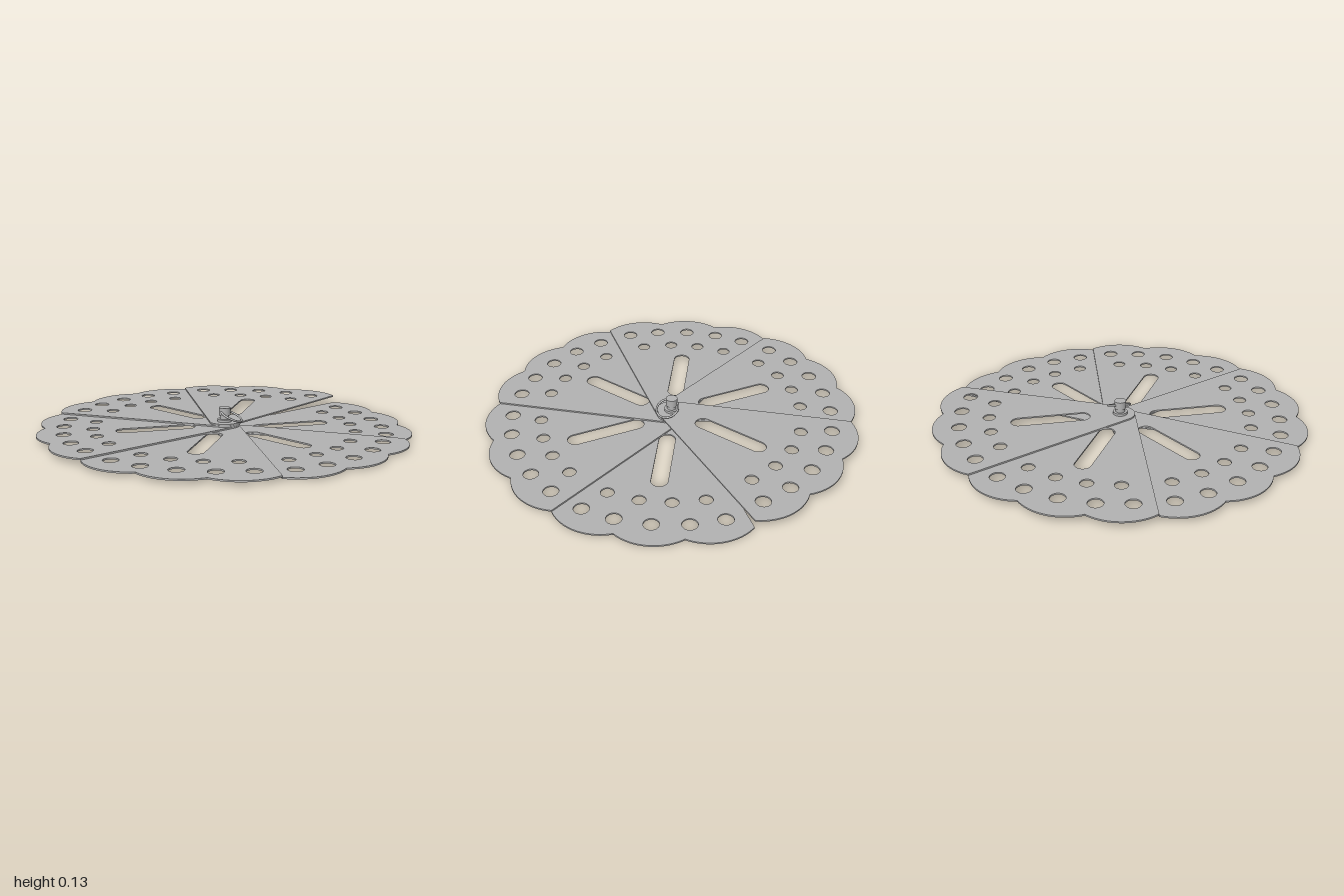
import * as THREE from 'three';

const deg = Math.PI / 180;
const HUB = 0.08;       // radius of the rounded petal root
const CUSP = 0.955;     // radius at the notches between scallops
const THICK = 0.008, PITCH = 0.0085;

// Point at radius r, angle a clockwise from +Y
const polar = (r, a) => [r * Math.sin(a), r * Math.cos(a)];

function circleHole(shape, r, a, radius) {
  const hole = new THREE.Path();
  const [x, y] = polar(r, a);
  hole.absarc(x, y, radius, 0, Math.PI * 2, true);
  shape.holes.push(hole);
}

// One sixth of the plate, pointing along -z, with its underside on y = 0
function petalGeometry() {
  const shape = new THREE.Shape();
  const edge = 30 * deg - Math.asin(HUB / CUSP);

  // Straight side, three scallops, straight side, rounded root
  shape.moveTo(HUB * Math.cos(edge), -HUB * Math.sin(edge));
  shape.lineTo(...polar(CUSP, 30 * deg));
  const halfChord = CUSP * Math.sin(10 * deg);
  const rise = 1 - CUSP * Math.cos(10 * deg);
  const radius = (halfChord ** 2 + rise ** 2) / (2 * rise);
  const half = Math.asin(halfChord / radius);
  for (const a of [20, 0, -20]) {
    const [x, y] = polar(1 - radius, a * deg);
    const mid = (90 - a) * deg;
    shape.absarc(x, y, radius, mid - half, mid + half, false);
  }
  shape.lineTo(-HUB * Math.cos(edge), -HUB * Math.sin(edge));
  shape.absarc(0, 0, HUB, Math.PI + edge, 2 * Math.PI - edge, false);

  // Two rows of round holes
  for (const a of [-23.5, -12, 0, 12, 23.5]) circleHole(shape, 0.86, a * deg, 0.039);
  for (const a of [-20, -6.5, 6.5, 20]) circleHole(shape, 0.703, a * deg, 0.034);

  // Long radial slot
  const slot = new THREE.Path();
  const w = 0.043;
  slot.absarc(0, 0.59 - w, w, 0, Math.PI, false);
  slot.absarc(0, 0.165 + w, w, Math.PI, 2 * Math.PI, false);
  slot.closePath();
  shape.holes.push(slot);

  const geo = new THREE.ExtrudeGeometry(shape, { depth: THICK, bevelEnabled: false, curveSegments: 20 });
  return geo.rotateX(-Math.PI / 2);
}

export function createModel() {
  const model = new THREE.Group();
  model.name = 'foldingPlate';
  const metal = new THREE.MeshStandardMaterial({ color: 0xb2b2b2 });
  metal.name = 'grey metal';

  const add = (name, geometry) => {
    const mesh = new THREE.Mesh(geometry, metal);
    mesh.name = name;
    model.add(mesh);
    return mesh;
  };

  // Six petals fanned out, each one layer lower than the last
  const petal = petalGeometry();
  for (let i = 0; i < 6; i++) {
    const mesh = add('petal' + (i + 1), petal);
    mesh.position.y = (5 - i) * PITCH;
    mesh.rotation.y = i * 60 * deg;
  }

  // Central rivet: flange, neck and head, from stacked cylinders
  const stack = [
    ['rivetFlange', 0.039, 0.048, 0.064],
    ['rivetNeck', 0.025, 0.064, 0.085],
    ['rivetHead', 0.031, 0.085, 0.126],
  ];
  for (const [name, r, y0, y1] of stack) {
    add(name, new THREE.CylinderGeometry(r, r, y1 - y0, 32)).position.y = (y0 + y1) / 2;
  }

  // Pull ring threaded through the rivet, drooping to the left side
  const ring = add('pullRing', new THREE.TorusGeometry(0.06, 0.0055, 10, 48).rotateX(Math.PI / 2));
  ring.position.set(0.038, 0.082, 0);
  ring.rotation.z = -25 * deg;

  return model;
}
